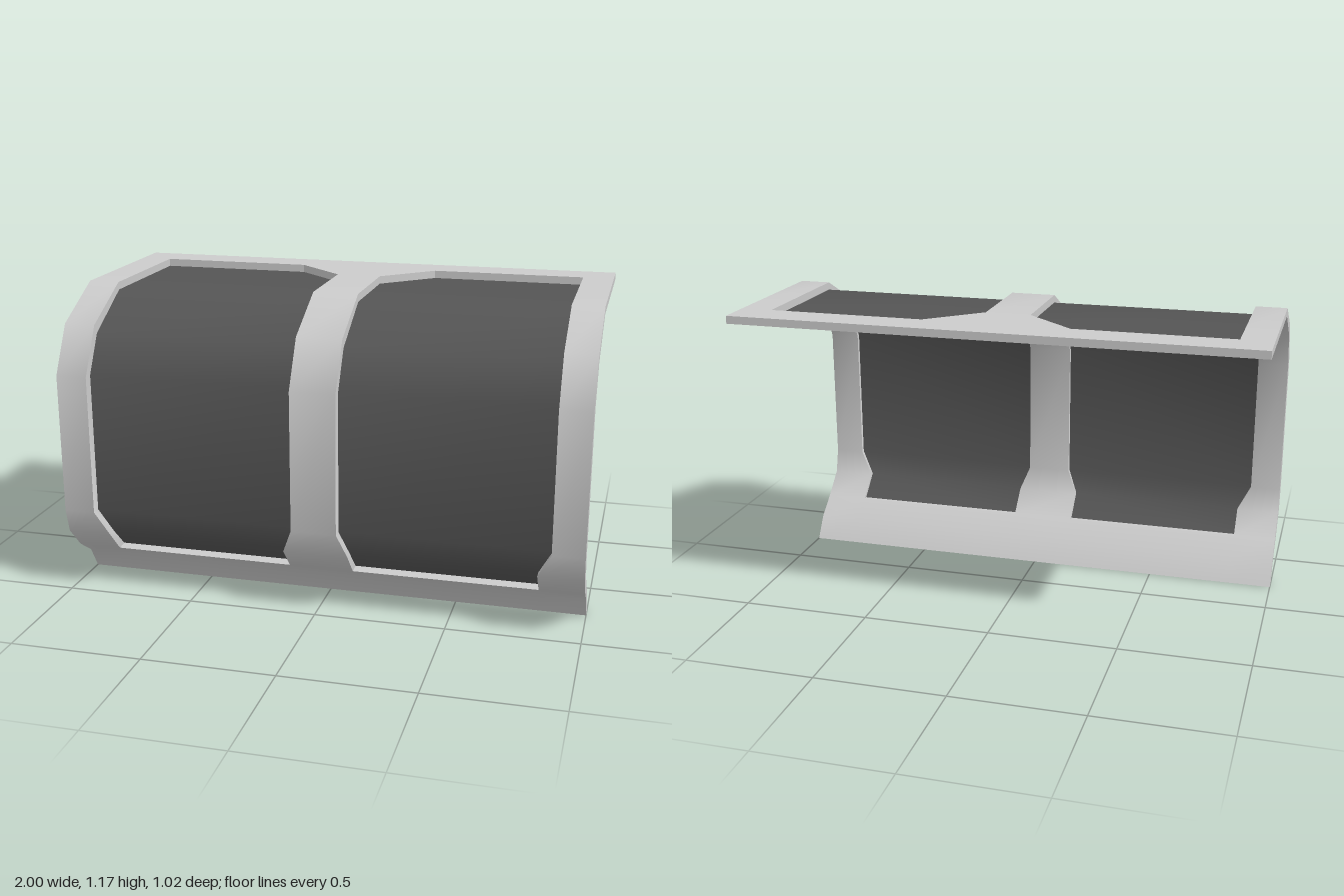
import * as THREE from 'three';
import { toCreasedNormals } from 'three/addons/utils/BufferGeometryUtils.js';

// Cross-sections from the bottom lip up and over to the rear roof edge:
// outer z, y, inner z, y, then the inner and outer x of each window opening
const ROWS = [
  [0.255, 0, 0.2, 0, 0.125, 0.83],
  [0.31, 0.09, 0.255, 0.085, 0.125, 0.83],
  [0.4, 0.15, 0.34, 0.155, 0.125, 0.83],
  [0.485, 0.24, 0.43, 0.24, 0.125, 0.83],
  [0.51, 0.335, 0.455, 0.335, 0.087, 0.88],
  [0.51, 0.875, 0.455, 0.875, 0.087, 0.88],
  [0.41, 1.055, 0.383, 1.02, 0.087, 0.88],
  [0.17, 1.175, 0.165, 1.145, 0.087, 0.88],
  [-0.2, 1.175, -0.2, 1.145, 0.087, 0.88],
  [-0.375, 1.175, -0.375, 1.145, 0.28, 0.88],
  [-0.51, 1.175, -0.51, 1.145, 0.28, 0.88],
];
const FIRST = 2, LAST = 8; // rows of cells crossed by the windows
const COLS = 5;

const columnX = (r, c) => {
  const [, , , , a, b] = ROWS[r];
  return [-1, -b, -a, a, b, 1][c];
};
const outer = ([r, c]) => [columnX(r, c), ROWS[r][1], ROWS[r][0]];
const inner = ([r, c]) => [columnX(r, c), ROWS[r][3], ROWS[r][2]];
// Glass sits just outside the inner skin
const pane = ([r, c]) => [columnX(r, c), ROWS[r][3], THREE.MathUtils.lerp(ROWS[r][2], ROWS[r][0], 0.3)];

const inGrid = (r, c) => r >= 0 && r < ROWS.length - 1 && c >= 0 && c < COLS;
const isWindow = (r, c) => r >= FIRST && r <= LAST && (c === 1 || c === 3);
const isSolid = (r, c) => inGrid(r, c) && !isWindow(r, c);
const corners = (r, c) => [[r, c], [r, c + 1], [r + 1, c + 1], [r + 1, c]];

function quad(out, a, b, c, d) {
  out.push(...a, ...b, ...c, ...a, ...c, ...d);
}

function toGeometry(positions) {
  const g = new THREE.BufferGeometry();
  g.setAttribute('position', new THREE.Float32BufferAttribute(positions, 3));
  return toCreasedNormals(g, THREE.MathUtils.degToRad(40));
}

// Thick bent shell with walls wherever a cell borders an opening or the outside
function frameGeometry() {
  const out = [];
  for (let r = 0; r < ROWS.length - 1; r++) {
    for (let c = 0; c < COLS; c++) {
      if (!isSolid(r, c)) continue;
      const k = corners(r, c);
      quad(out, ...k.map(outer));
      quad(out, ...k.map(inner).reverse());
      const neighbours = [[r - 1, c], [r, c + 1], [r + 1, c], [r, c - 1]];
      neighbours.forEach(([nr, nc], i) => {
        if (isSolid(nr, nc)) return;
        const p = k[i], q = k[(i + 1) % 4];
        quad(out, outer(q), outer(p), inner(p), inner(q));
      });
    }
  }
  return toGeometry(out);
}

// Thin curved pane filling one opening
function paneGeometry(column) {
  const out = [];
  for (let r = FIRST; r <= LAST; r++) quad(out, ...corners(r, column).map(pane));
  return toGeometry(out);
}

export function createModel() {
  const model = new THREE.Group();
  model.name = 'windowShell';

  const frame = new THREE.Mesh(frameGeometry(), new THREE.MeshStandardMaterial({ color: 0xcccccc }));
  frame.name = 'frame';
  model.add(frame);

  const glass = new THREE.MeshStandardMaterial({ color: 0x555555, side: THREE.DoubleSide });
  for (const [name, column] of [['rightPane', 1], ['leftPane', 3]]) {
    const mesh = new THREE.Mesh(paneGeometry(column), glass);
    mesh.name = name;
    model.add(mesh);
  }
  return model;
}
